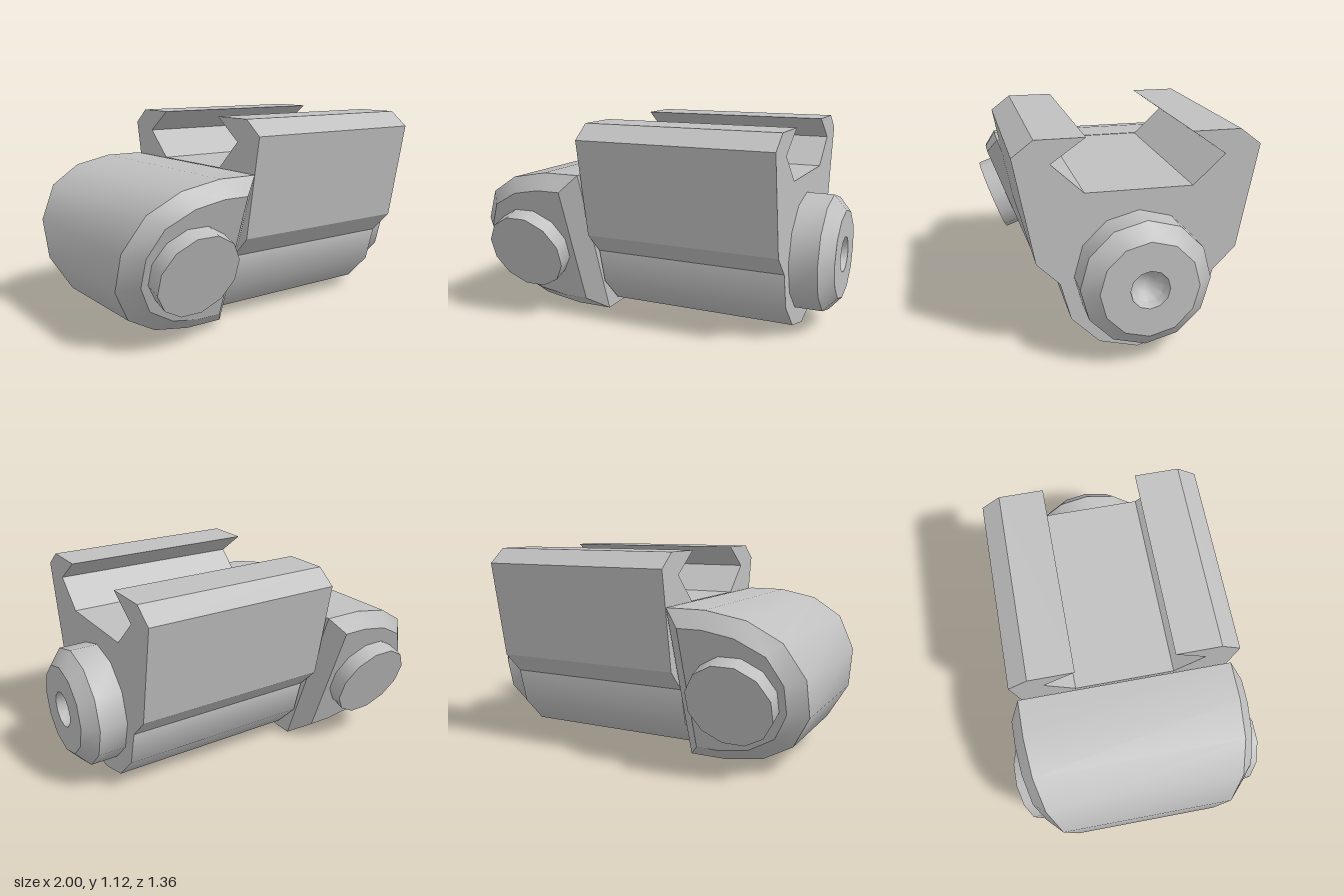
import * as THREE from 'three';
import { mergeGeometries, toCreasedNormals } from 'three/addons/utils/BufferGeometryUtils.js';

const TILT = Math.PI / 9; // lean of the end block's sides

// Strip of quads between two open loops of points, smooth along its length
function strip(a, b) {
  const geo = new THREE.BufferGeometry().setFromPoints([...a, ...b]);
  const n = a.length, index = [];
  for (let i = 0; i < n - 1; i++) index.push(i, n + i, n + i + 1, i, n + i + 1, i + 1);
  geo.setIndex(index);
  geo.computeVertexNormals();
  return geo;
}

// Flat fan across a loop
function cap(loop, flip) {
  const geo = new THREE.BufferGeometry().setFromPoints(loop);
  const index = [];
  for (let i = 1; i < loop.length - 1; i++) index.push(0, flip ? i + 1 : i, flip ? i : i + 1);
  geo.setIndex(index);
  geo.computeVertexNormals();
  return geo;
}

// D-shaped block with leaning, chamfered sides
function endBlockGeometry() {
  const outer = [[-0.31, 0.86], [-0.52, 0.86], [-0.73, 0.82], [-0.9, 0.72], [-1, 0.54],
    [-1, 0.335], [-0.9, 0.155], [-0.73, 0.055], [-0.52, 0.015], [-0.31, 0.015]];
  const inner = [[-0.395, 0.77], [-0.53, 0.77], [-0.69, 0.74], [-0.84, 0.66], [-0.915, 0.52],
    [-0.915, 0.365], [-0.84, 0.22], [-0.69, 0.13], [-0.53, 0.1], [-0.395, 0.1]];
  const lean = (pts, z0, side) =>
    pts.map(([x, y]) => new THREE.Vector3(x, y, side * (z0 + y * Math.tan(TILT))));
  const loops = [lean(inner, 0.363, 1), lean(outer, 0.274, 1),
    lean(outer, 0.274, -1), lean(inner, 0.363, -1)];
  const parts = [cap(loops[0], false), cap(loops[3], true)];
  for (let i = 0; i < 3; i++) {
    const a = loops[i], b = loops[i + 1];
    parts.push(strip(a, b), strip([a[9], a[0]], [b[9], b[0]]));
  }
  return mergeGeometries(parts);
}

export function createModel() {
  const group = new THREE.Group();
  const grey = new THREE.MeshStandardMaterial({ color: 0xc0c0c0 });
  grey.name = 'grey';
  const add = (name, geo) => {
    const mesh = new THREE.Mesh(geo, grey);
    mesh.name = name;
    group.add(mesh);
    return mesh;
  };

  // Clamp body with a dovetail slot along its top
  const half = [[0.395, 0.4], [0.51, 0.515], [0.61, 1.05], [0.505, 1.13],
    [0.26, 1.13], [0.43, 1.01], [0.27, 0.86]];
  const mirrored = half.map(([z, y]) => [-z, y]).reverse();
  const profile = new THREE.Shape([...half, ...mirrored].map(([z, y]) => new THREE.Vector2(z, y)));
  const rail = new THREE.ExtrudeGeometry(profile, { depth: 1.08, bevelEnabled: false });
  rail.rotateY(Math.PI / 2).translate(-0.3, 0, 0);
  add('railClamp', rail);

  // Rounded underside of the body
  const belly = new THREE.CylinderGeometry(0.395, 0.395, 1.08, 6, 1, false, Math.PI, Math.PI);
  belly.rotateZ(Math.PI / 2).translate(0.24, 0.4, 0);
  add('roundedUnderside', belly);

  // End knob with chamfer and dished hole
  const knobProfile = [[0.325, 0.77], [0.325, 0.93], [0.245, 1], [0.098, 1],
    [0.085, 0.95], [0.05, 0.915], [0, 0.9]].map(([r, x]) => new THREE.Vector2(r, x));
  const knob = toCreasedNormals(new THREE.LatheGeometry(knobProfile, 12), 0.6);
  knob.rotateZ(-Math.PI / 2).translate(0, 0.43, 0);
  add('endKnob', knob);

  add('endBlock', endBlockGeometry());

  // Tilted buttons on both sides of the block
  for (const side of [1, -1]) {
    const button = new THREE.CylinderGeometry(0.231, 0.231, 0.16, 12);
    button.rotateY(Math.PI / 12).translate(0, -0.08, 0);
    button.rotateX(side * (Math.PI / 2 + TILT));
    button.translate(-0.655, 0.4, side * 0.605);
    add(side > 0 ? 'frontButton' : 'backButton', button);
  }
  return group;
}
